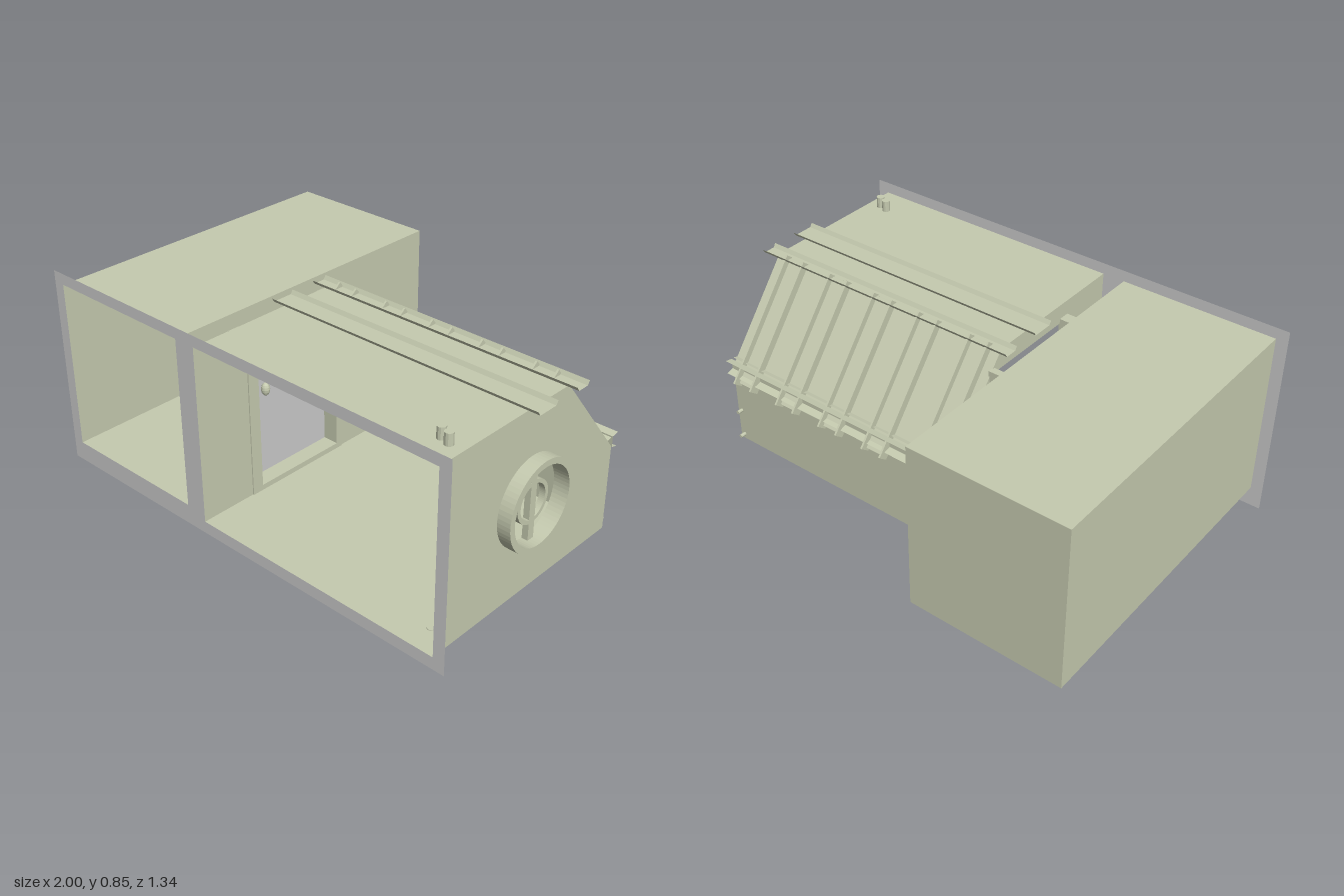
import * as THREE from 'three';

const shellMat = new THREE.MeshStandardMaterial({ color: 0xc6cbb0, side: THREE.DoubleSide, flatShading: true });
const frameMat = new THREE.MeshStandardMaterial({ color: 0xcccccc, side: THREE.DoubleSide });

export function createModel() {
  const model = new THREE.Group();

  const add = (name, geo, x = 0, y = 0, z = 0, parent = model, mat = shellMat) => {
    const m = new THREE.Mesh(geo, mat);
    m.name = name;
    m.position.set(x, y, z);
    parent.add(m);
    return m;
  };
  // box given by its limits
  const block = (name, x0, x1, y0, y1, z0, z1, parent, mat) =>
    add(name, new THREE.BoxGeometry(x1 - x0, y1 - y0, z1 - z0),
      (x0 + x1) / 2, (y0 + y1) / 2, (z0 + z1) / 2, parent, mat);
  // thin sheet: a (z, y) line swept along x
  const sheet = (name, pts, x0, x1) => {
    const v = [];
    for (let i = 0; i + 1 < pts.length; i++) {
      const [za, ya] = pts[i], [zb, yb] = pts[i + 1];
      v.push(x0, ya, za, x1, ya, za, x1, yb, zb, x0, ya, za, x1, yb, zb, x0, yb, zb);
    }
    const g = new THREE.BufferGeometry();
    g.setAttribute('position', new THREE.Float32BufferAttribute(v, 3));
    g.computeVertexNormals();
    return add(name, g);
  };
  const rect = (x0, x1, y0, y1, Type = THREE.Shape) =>
    new Type([[x0, y0], [x1, y0], [x1, y1], [x0, y1]].map(p => new THREE.Vector2(...p)));
  // flat wall drawn in (z, y) and stood at the given x
  const sideWall = (name, pts, x, hole) => {
    const s = new THREE.Shape(pts.map(([z, y]) => new THREE.Vector2(-z, y)));
    if (hole) s.holes.push(hole);
    const m = add(name, new THREE.ShapeGeometry(s, 48), x);
    m.rotation.y = Math.PI / 2;
    return m;
  };

  // front frame with two openings
  const face = rect(-1, 0.99, 0, 0.85);
  face.holes.push(rect(-0.95, -0.285, 0.085, 0.803, THREE.Path), rect(-0.19, 0.94, 0.052, 0.803, THREE.Path));
  add('frontFrame', new THREE.ShapeGeometry(face), 0, 0, 0.67, model, frameMat);

  // plain deep compartment, open at the front
  const deep = [[0.67, 0.085], [-0.67, 0.085], [-0.67, 0.803], [0.67, 0.803]];
  sheet('deepCompartmentShell', [...deep.slice(0, 4)], -0.95, -0.285);
  for (const x of [-0.95, -0.285]) sideWall('deepCompartmentSide', deep, x);

  // main room with sloped back roof
  const room = [[0.67, 0.052], [-0.325, 0.052], [-0.325, 0.415], [-0.01, 0.803], [0.67, 0.803]];
  sheet('roomShell', room, -0.19, 0.94);
  const port = new THREE.Path();
  port.absarc(-0.175, 0.43, 0.155, 0, Math.PI * 2, true);
  sideWall('roomOuterWall', room, 0.94, port);
  sideWall('roomDoorWall', room, -0.19, rect(-0.37, 0.05, 0.06, 0.72, THREE.Path));

  // doorway between the two compartments
  block('doorJambBack', -0.285, -0.185, 0.045, 0.74, -0.08, -0.05);
  block('doorJambFront', -0.285, -0.185, 0.045, 0.74, 0.37, 0.42);
  block('doorSill', -0.255, -0.185, 0.045, 0.075, -0.05, 0.37);
  block('doorPanel', -0.284, -0.255, 0.06, 0.72, -0.05, 0.37, model, frameMat);
  for (const z of [0.34, 0.0]) {
    const knob = add('doorKnob', new THREE.SphereGeometry(0.018, 12, 8), -0.18, 0.5, z);
    knob.scale.y = 1.5;
  }

  // round port: rim, inner ring and upright bar
  const windowGroup = new THREE.Group();
  windowGroup.name = 'roundWindow';
  windowGroup.position.set(0.93, 0.43, 0.175);
  windowGroup.rotation.y = Math.PI / 2;
  model.add(windowGroup);
  const ring = (name, outer, inner, depth) => {
    const s = new THREE.Shape().absarc(0, 0, outer, 0, Math.PI * 2);
    s.holes.push(new THREE.Path().absarc(0, 0, inner, 0, Math.PI * 2, true));
    add(name, new THREE.ExtrudeGeometry(s, { depth, bevelEnabled: false, curveSegments: 32 }), 0, 0, 0, windowGroup);
  };
  ring('windowRim', 0.18, 0.155, 0.065);
  ring('windowInnerRing', 0.086, 0.07, 0.025);
  block('windowBar', -0.016, 0.016, -0.155, 0.155, 0, 0.025, windowGroup);

  // shallow channels along the roof top and the back eave
  for (const [z0, z1] of [[0.13, 0.23], [-0.05, 0.013]])
    sheet('roofChannel', [[z0 - 0.004, 0.822], [z0 + 0.006, 0.806], [z1 - 0.006, 0.806], [z1 + 0.004, 0.822]], -0.24, 0.99);
  sheet('eaveChannel', [[-0.362, 0.46], [-0.33, 0.454], [-0.33, 0.408], [-0.362, 0.4]], -0.19, 0.94);
  sheet('innerEaveStrip', [[-0.32, 0.455], [-0.3, 0.45], [-0.3, 0.41], [-0.32, 0.405]], -0.19, 0.94);

  // straps lying on the slope, each a tray with two raised edges
  const slope = new THREE.Group();
  slope.name = 'slopeStraps';
  slope.position.set(0, 0.803, -0.01);
  slope.rotation.x = Math.atan2(0.315, 0.388);
  model.add(slope);
  for (const [x0, x1] of [[-0.145, -0.06], [0.095, 0.185], [0.32, 0.41], [0.55, 0.64], [0.785, 0.875]]) {
    block('strapBase', x0, x1, -0.55, 0, -0.007, -0.002, slope);
    for (const x of [x0, x1]) {
      block('strapEdge', x - 0.004, x + 0.004, -0.56, 0.005, -0.034, 0.012, slope);
    }
  }

  // roof stubs, floor drains and wall pins
  for (const [x, z] of [[0.84, 0.54], [0.88, 0.552]]) {
    add('roofStub', new THREE.CylinderGeometry(0.017, 0.017, 0.055, 12), x, 0.823, z);
    add('floorDrain', new THREE.CylinderGeometry(0.015, 0.015, 0.02, 12), x, 0.045, z + 0.02);
  }
  for (const y of [0.075, 0.2]) {
    const back = add('backPin', new THREE.CylinderGeometry(0.008, 0.008, 0.03, 8), 0.92, y, -0.335);
    back.rotation.x = Math.PI / 2;
    const side = add('sidePin', new THREE.CylinderGeometry(0.007, 0.007, 0.014, 8), 0.945, y, 0.64);
    side.rotation.z = Math.PI / 2;
  }

  // pipes running down the inside of the outer wall
  const pipe = pts => add('innerPipe', new THREE.TubeGeometry(
    new THREE.CatmullRomCurve3(pts.map(p => new THREE.Vector3(...p))), 24, 0.01, 8));
  pipe([[0.855, 0.8, 0.54], [0.885, 0.6, 0.54], [0.905, 0.35, 0.555], [0.895, 0.055, 0.57]]);
  pipe([[0.88, 0.8, 0.552], [0.905, 0.6, 0.555], [0.92, 0.35, 0.565], [0.92, 0.055, 0.575]]);
  return model;
}
